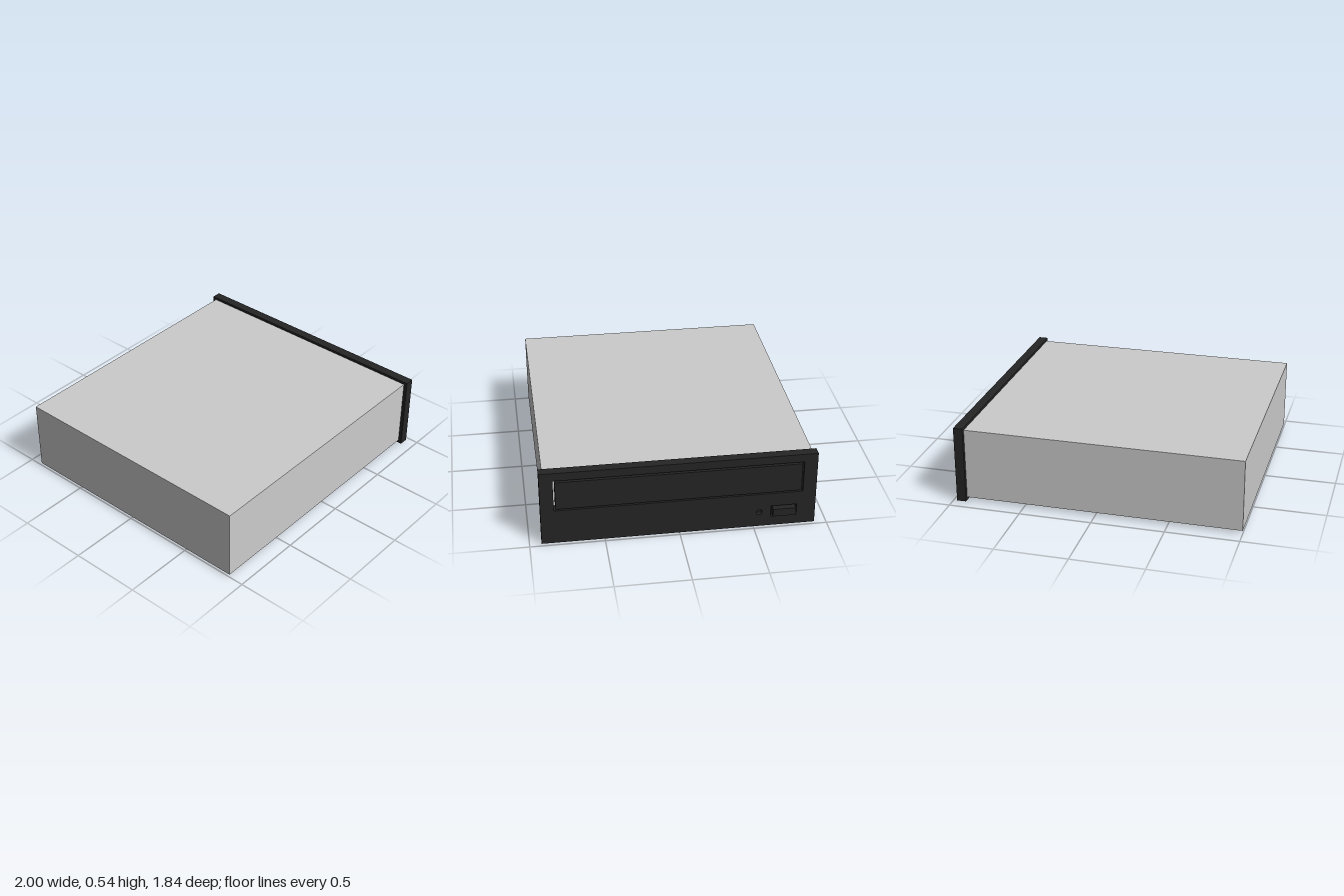
import * as THREE from 'three';

const grey = new THREE.MeshStandardMaterial({ color: 0xcccccc });
const dark = new THREE.MeshStandardMaterial({ color: 0x252525 });

// Box given by its limits on each axis
function box(name, mat, [x0, x1], [y0, y1], [z0, z1]) {
  const mesh = new THREE.Mesh(new THREE.BoxGeometry(x1 - x0, y1 - y0, z1 - z0), mat);
  mesh.position.set((x0 + x1) / 2, (y0 + y1) / 2, (z0 + z1) / 2);
  mesh.name = name;
  return mesh;
}

// Rectangle outline in the bezel plane; u runs along -z
function rect(PathType, [z0, z1], [y0, y1]) {
  return new PathType([[-z1, y0], [-z0, y0], [-z0, y1], [-z1, y1]].map(([u, v]) => new THREE.Vector2(u, v)));
}

export function createModel() {
  const group = new THREE.Group();
  group.name = 'discDrive';
  const back = 0.91, front = 0.975;

  // Metal case
  group.add(box('case', grey, [-1, back], [0.022, 0.522], [-0.895, 0.895]));

  // Front bezel with tray opening, button recess and small round hole
  const plate = rect(THREE.Shape, [-0.92, 0.92], [0, 0.54]);
  plate.holes.push(
    rect(THREE.Path, [-0.83, 0.83], [0.252, 0.482]),
    rect(THREE.Path, [-0.793, -0.615], [0.07, 0.153]),
    new THREE.Path().absarc(0.538, 0.111, 0.02, 0, Math.PI * 2, true),
  );
  const bezelGeo = new THREE.ExtrudeGeometry(plate, { depth: front - back, bevelEnabled: false, curveSegments: 16 });
  bezelGeo.rotateY(Math.PI / 2);
  const bezel = new THREE.Mesh(bezelGeo, dark);
  bezel.name = 'bezel';
  bezel.position.x = back;
  group.add(bezel);

  // Tray front, leaving a thin gap all round
  group.add(box('trayFront', dark, [back, 0.978], [0.265, 0.47], [-0.818, 0.818]));

  // Dark floors of the two recesses
  group.add(box('buttonRecessFloor', dark, [back, 0.945], [0.07, 0.153], [-0.793, -0.615]));
  group.add(box('holeFloor', dark, [back, 0.945], [0.088, 0.134], [-0.56, -0.516]));

  // Eject button
  group.add(box('ejectButton', dark, [0.94, 1], [0.084, 0.14], [-0.783, -0.628]));

  return group;
}
